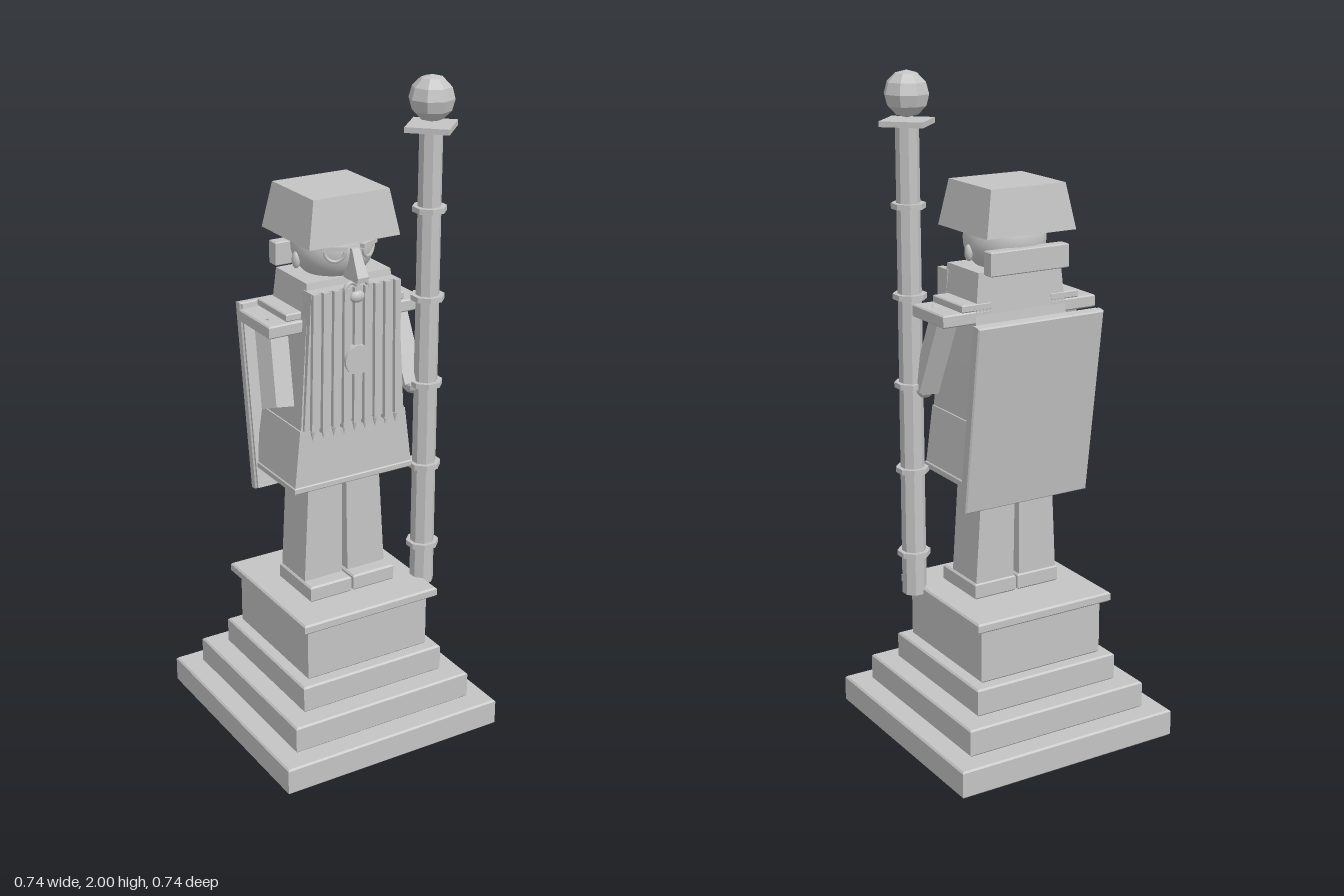
import * as THREE from 'three';

const stone = new THREE.MeshStandardMaterial({ color: 0xc4c4c4 });
stone.name = 'grey stone';

// Stacks rectangles [y, x0, x1, z0, z1] into a closed flat-sided solid
function loft(rows) {
  const pos = [];
  const ring = ([y, x0, x1, z0, z1]) => [[x0, y, z1], [x1, y, z1], [x1, y, z0], [x0, y, z0]];
  const quad = (a, b, c, d) => pos.push(...a, ...b, ...c, ...a, ...c, ...d);
  const rings = rows.map(ring);
  for (let i = 0; i < rings.length - 1; i++) {
    for (let k = 0; k < 4; k++) {
      const n = (k + 1) % 4;
      quad(rings[i][k], rings[i][n], rings[i + 1][n], rings[i + 1][k]);
    }
  }
  const [a, b, c, d] = rings[0];
  quad(d, c, b, a);
  quad(...rings[rings.length - 1]);
  const g = new THREE.BufferGeometry();
  g.setAttribute('position', new THREE.Float32BufferAttribute(pos, 3));
  g.computeVertexNormals();
  return g;
}

// Block with small chamfers at its top and bottom edges
function slab(x0, x1, y0, y1, z0, z1, c = 0.005) {
  return loft([
    [y0, x0 + c, x1 - c, z0 + c, z1 - c], [y0 + c, x0, x1, z0, z1],
    [y1 - c, x0, x1, z0, z1], [y1, x0 + c, x1 - c, z0 + c, z1 - c],
  ]);
}

function flat(g) {
  const f = g.index ? g.toNonIndexed() : g;
  f.computeVertexNormals();
  return f;
}

export function createModel() {
  const model = new THREE.Group();
  model.name = 'guardStatue';
  const add = (name, geometry, x = 0, y = 0, z = 0, parent = model) => {
    const m = new THREE.Mesh(geometry, stone);
    m.name = name;
    m.position.set(x, y, z);
    parent.add(m);
    return m;
  };
  const box = (name, w, h, d, x, y, z, parent) => add(name, new THREE.BoxGeometry(w, h, d), x, y, z, parent);

  // Stepped plinth
  [[0, 0.085, 0.368], [0.085, 0.17, 0.304], [0.17, 0.255, 0.242], [0.255, 0.428, 0.208], [0.425, 0.455, 0.232]]
    .forEach(([y0, y1, r], i) => add('plinthStep' + (i + 1), slab(-r, r, y0, y1, -r, r)));

  // Feet and legs
  for (const s of [-1, 1]) {
    const span = (a, b) => (s > 0 ? [a, b] : [-b, -a]);
    add('foot', slab(...span(0.003, 0.146), 0.455, 0.505, -0.07, 0.118));
    add('leg', loft([
      [0.5, ...span(0.01, 0.14), -0.066, 0.072],
      [0.85, ...span(0.007, 0.12), -0.07, 0.066],
    ]));
  }

  // Coat skirt with hem, and torso
  add('skirt', loft([
    [0.828, -0.2, 0.2, -0.116, 0.124], [0.85, -0.198, 0.198, -0.115, 0.123],
    [1.02, -0.178, 0.178, -0.106, 0.118],
  ]));
  add('hem', slab(-0.202, 0.202, 0.828, 0.848, -0.118, 0.127, 0.003));
  add('torso', loft([
    [1.02, -0.174, 0.174, -0.107, 0.116], [1.18, -0.162, 0.162, -0.106, 0.112],
    [1.33, -0.15, 0.15, -0.09, 0.108], [1.45, -0.138, 0.138, -0.084, 0.09],
  ]));

  // Beard made of a backing and vertical strands
  add('beard', loft([[1.02, -0.168, 0.168, 0.1, 0.125], [1.43, -0.143, 0.143, 0.08, 0.125]]));
  for (let i = -4; i <= 4; i++) {
    const low = 1.02 - (i % 2 ? 0.012 : 0);
    add('beardStrand', loft([
      [low, i * 0.035 - 0.01, i * 0.035 + 0.01, 0.1, 0.138],
      [1.43, i * 0.0335 - 0.009, i * 0.0335 + 0.009, 0.09, 0.138],
    ]));
    add('beardTip', flat(new THREE.ConeGeometry(0.007, 0.03, 6)), i * 0.035, 1.0, 0.124).rotation.x = Math.PI;
  }
  add('medallion', new THREE.CylinderGeometry(0.044, 0.044, 0.025, 24), 0, 1.215, 0.135).rotation.x = Math.PI / 2;

  // Shoulder boards
  for (const s of [-1, 1]) {
    const span = (a, b) => (s > 0 ? [a, b] : [-b, -a]);
    add('shoulderBoard', slab(...span(0.1, 0.257), 1.305, 1.342, -0.09, 0.087, 0.004));
    add('shoulderPad', slab(...span(0.1, 0.196), 1.342, 1.364, -0.09, 0.075, 0.003));
  }

  // Arms as square bars aimed from shoulder to hand
  const arm = (name, from, to, w, d, twist) => {
    const a = new THREE.Vector3(...from), b = new THREE.Vector3(...to);
    const m = box(name, w, a.distanceTo(b), d, ...a.clone().lerp(b, 0.5).toArray());
    m.quaternion.setFromUnitVectors(new THREE.Vector3(0, 1, 0), a.clone().sub(b).normalize());
    m.rotateY(twist);
  };
  arm('rightArm', [-0.205, 1.33, 0.0], [-0.236, 1.1, 0.095], 0.068, 0.062, 0.25);
  arm('leftArm', [0.2, 1.33, -0.005], [0.212, 1.085, 0.095], 0.06, 0.065, -0.2);
  add('leftHand', flat(new THREE.SphereGeometry(0.032, 8, 6)), 0.215, 1.085, 0.098);

  // Head, ears and neck guard
  add('head', new THREE.SphereGeometry(1, 32, 20), 0, 1.525, 0).scale.set(0.122, 0.105, 0.117);
  for (const s of [-1, 1]) {
    add('ear', new THREE.SphereGeometry(1, 12, 8), s * 0.12, 1.492, 0).scale.set(0.012, 0.025, 0.014);
  }
  add('neckGuard', slab(-0.13, 0.13, 1.446, 1.516, -0.138, -0.1, 0.003));

  // Face
  const face = new THREE.Group();
  face.name = 'face';
  model.add(face);
  add('nose', loft([
    [1.45, -0.018, 0.018, 0.09, 0.165], [1.465, -0.018, 0.018, 0.09, 0.167],
    [1.54, -0.012, 0.012, 0.09, 0.125],
  ]), 0, 0, 0, face);
  for (const s of [-1, 1]) {
    const lid = add('eyelid', new THREE.TorusGeometry(0.028, 0.005, 6, 14, Math.PI), s * 0.055, 1.532, 0.104, face);
    lid.rotation.set(0, s * 0.5, Math.PI);
    box('brow', 0.07, 0.012, 0.02, s * 0.055, 1.542, 0.102, face).rotation.y = s * 0.45;
    const curl = add('moustache', new THREE.TorusGeometry(0.02, 0.007, 6, 14, Math.PI), s * 0.018, 1.425, 0.132, face);
    curl.rotation.z = -s * 0.3;
  }
  add('lip', new THREE.SphereGeometry(1, 12, 8), 0, 1.402, 0.135, face).scale.set(0.024, 0.018, 0.013);

  // Tapered hat
  add('hat', loft([[1.556, -0.148, 0.148, -0.147, 0.124], [1.69, -0.123, 0.123, -0.128, 0.104]]));

  // Leaning shield with a raised rim
  const shield = new THREE.Group();
  shield.name = 'shield';
  shield.position.set(0, 1.042, -0.147);
  shield.rotation.x = -0.138;
  model.add(shield);
  const panel = slab(-0.286, 0.286, -0.018, 0.012, -0.21, 0.21, 0.004);
  panel.rotateX(Math.PI / 2).rotateZ(Math.PI / 2);
  add('shieldPanel', panel, 0, 0, 0, shield);
  for (const s of [-1, 1]) {
    box('shieldSideRim', 0.018, 0.564, 0.012, s * 0.197, 0, 0.014, shield);
    box('shieldEndRim', 0.376, 0.018, 0.012, 0, s * 0.273, 0.014, shield);
  }

  // Staff with rings, square plate and faceted ball
  const staff = new THREE.Group();
  staff.name = 'staff';
  staff.position.set(0.243, 0, 0.127);
  model.add(staff);
  add('pole', flat(new THREE.CylinderGeometry(0.034, 0.037, 1.42, 8)), 0, 1.145, 0, staff).rotation.y = Math.PI / 8;
  for (const y of [0.565, 0.83, 1.092, 1.357, 1.62]) {
    add('staffRing', flat(new THREE.CylinderGeometry(0.05, 0.05, 0.016, 8)), 0, y, 0, staff).rotation.y = Math.PI / 8;
  }
  add('staffPlate', flat(new THREE.CylinderGeometry(0.09, 0.09, 0.016, 4)), 0, 1.855, 0, staff);
  add('staffBall', flat(new THREE.SphereGeometry(0.066, 8, 6)), 0, 1.934, 0, staff);

  return model;
}
